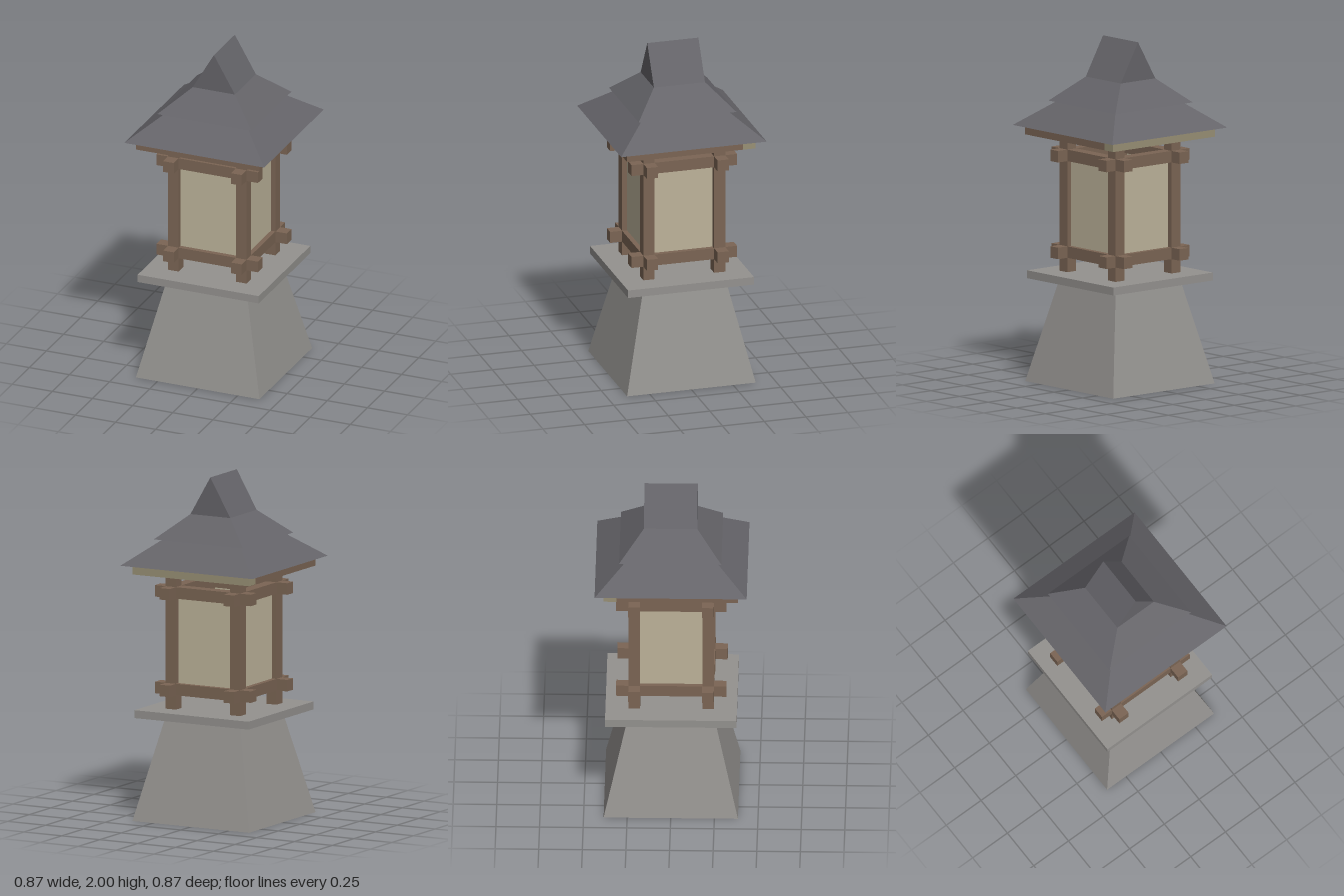
import * as THREE from 'three';

const mat = (name, color) => Object.assign(new THREE.MeshStandardMaterial({ color }), { name });

export function createModel() {
  const stone = mat('stone', 0x94928f);
  const wood = mat('wood', 0x7b6554);
  const paleWood = mat('paleWood', 0x989075);
  const paper = mat('paper', 0xbdb39a);
  const slate = mat('slate', 0x656469);
  const model = new THREE.Group();
  model.name = 'stoneLantern';

  const add = (name, geometry, material, x = 0, y = 0, z = 0, parent = model) => {
    const mesh = new THREE.Mesh(geometry, material);
    mesh.name = name;
    mesh.position.set(x, y, z);
    parent.add(mesh);
    return mesh;
  };
  const box = (name, w, h, d, material, x, y, z, parent) =>
    add(name, new THREE.BoxGeometry(w, h, d), material, x, y, z, parent);

  // Box whose top and bottom rectangles have their own half sizes
  const taper = (y0, y1, bx, bz, tx, tz) => {
    const g = new THREE.BoxGeometry(2, 2, 2);
    const p = g.attributes.position;
    for (let i = 0; i < p.count; i++) {
      const top = p.getY(i) > 0;
      p.setXYZ(i, p.getX(i) * (top ? tx : bx), top ? y1 : y0, p.getZ(i) * (top ? tz : bz));
    }
    const flat = g.toNonIndexed();
    flat.computeVertexNormals();
    return flat;
  };

  // Stone pedestal and slab
  add('pedestal', taper(0, 0.6, 0.385, 0.385, 0.245, 0.245), stone);
  box('slab', 0.754, 0.046, 0.754, stone, 0, 0.622, 0);

  // Lamp house: corner posts, crossing rails and paper panels
  const house = new THREE.Group();
  house.name = 'lampHouse';
  model.add(house);
  const c = 0.2115, w = 0.067;
  for (const x of [-c, c])
    for (const z of [-c, c]) box('post', w, 0.846, w, wood, x, 1.068, z, house);
  for (const s of [-c, c]) {
    for (const y of [0.762, 1.325]) {
      box('railAcross', 0.632, w, w, wood, 0, y, s, house);
      box('railDeep', w, w, 0.632, wood, s, y, 0, house);
    }
    box('panelAcross', 0.36, 0.5, 0.009, paper, 0, 1.0435, s, house);
    box('panelDeep', 0.009, 0.5, 0.36, paper, s, 1.0435, 0, house);
  }

  // Eave beams under the roof; the back one is paler
  const e = 0.3475, b = 0.075;
  box('frontEaveBeam', 0.77, 0.055, b, wood, 0, 1.4635, e);
  box('backEaveBeam', 0.77, 0.055, b, paleWood, 0, 1.4635, -e);
  for (const s of [-e, e]) box('sideEaveBeam', b, 0.055, 0.62, wood, s, 1.4635, 0);

  // Two roof tiers and the gabled cap
  add('lowerRoof', taper(1.49, 1.628, 0.436, 0.436, 0.262, 0.262), slate);
  box('roofNeck', 0.5, 0.012, 0.5, slate, 0, 1.631, -0.003);
  add('upperRoof', taper(1.635, 1.775, 0.293, 0.293, 0.131, 0.153), slate, 0, 0, -0.005);
  const gable = new THREE.Shape([
    new THREE.Vector2(-0.131, 1.775), new THREE.Vector2(0.131, 1.775), new THREE.Vector2(0, 2),
  ]);
  add('gableCap', new THREE.ExtrudeGeometry(gable, { depth: 0.306, bevelEnabled: false }), slate, 0, 0, -0.158);

  return model;
}
